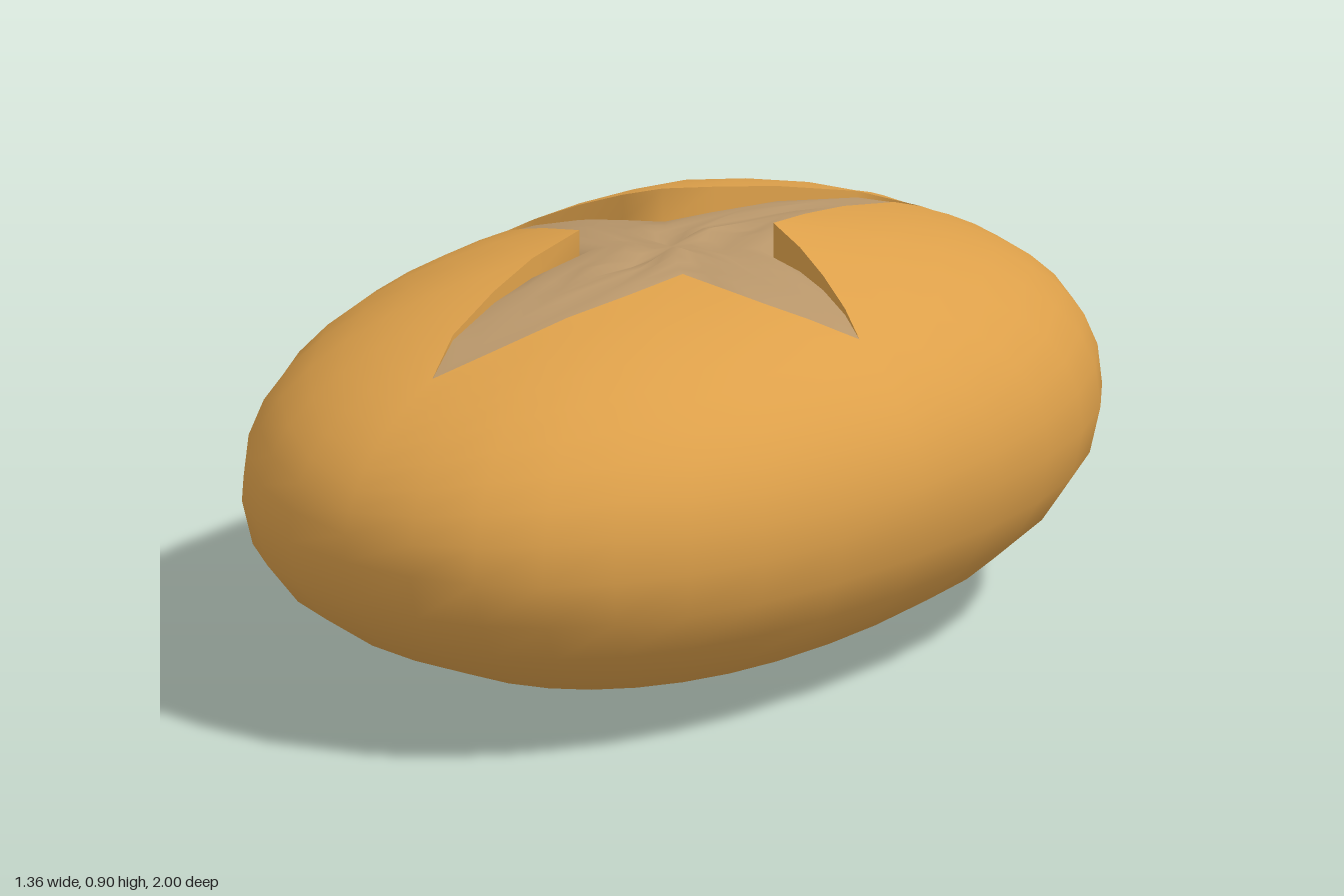
import * as THREE from 'three';
import { mergeVertices } from 'three/addons/utils/BufferGeometryUtils.js';

const HALF_X = 0.68, MID_Y = 0.43, P = 2.3;

// Right half of the cross-shaped split, [x, z], from rear tip to front tip
const half = [
  [0, -0.76], [0.05, -0.62], [0.09, -0.42], [0.12, -0.27],
  [0.15, -0.14], [0.24, -0.12], [0.33, -0.09], [0.42, -0.055],
  [0.49, -0.02], [0.41, 0.04], [0.33, 0.085], [0.25, 0.11],
  [0.14, 0.125], [0.13, 0.28], [0.10, 0.43], [0.06, 0.6], [0, 0.73],
];
const split = [...half, ...half.slice(1, -1).reverse().map(([x, z]) => [-x, z])];
const N = split.length;

// Curl of the four crust flaps: rear right, front right, front left, rear left
const flapLift = [0.045, 0.0, 0.03, 0.05];

const power = (v, e) => Math.sign(v) * Math.abs(v) ** e;

// Point on the widest outline of the loaf
function rim(i) {
  const a = -Math.PI / 2 + (i / N) * Math.PI * 2;
  return [HALF_X * power(Math.cos(a), 2 / P), power(Math.sin(a), 2 / P)];
}

// Height of the domed top
function dome(x, z) {
  const r = Math.abs(x / HALF_X) ** P + Math.abs(z) ** P;
  return MID_Y + MID_Y * Math.max(0, 1 - r) ** (1 / P);
}

// 0 at the tips of the split, 1 at the flap corners
const cornerWeight = (i) => 1 - Math.abs((i % 8) - 4) / 4;

function edgePoint(i) {
  const [x, z] = split[i];
  return [x, dome(x, z) + flapLift[Math.floor(i / 8)] * cornerWeight(i) ** 1.5, z];
}

const row = (fn) => Array.from({ length: N }, (_, i) => fn(i));

// Joins closed rows of points into one smooth surface
function skin(rows) {
  const index = [];
  for (let j = 0; j < rows.length - 1; j++) {
    for (let i = 0; i < N; i++) {
      const k = (i + 1) % N;
      const a = j * N + i, b = j * N + k, c = a + N, d = b + N;
      index.push(a, d, c, a, b, d);
    }
  }
  let geometry = new THREE.BufferGeometry();
  geometry.setAttribute('position', new THREE.Float32BufferAttribute(rows.flat(2), 3));
  geometry.setIndex(index);
  geometry = mergeVertices(geometry, 1e-5);
  geometry.computeVertexNormals();
  return geometry;
}

export function createModel() {
  const group = new THREE.Group();
  group.name = 'breadRoll';
  const crustMat = new THREE.MeshStandardMaterial({ color: 0xdda04a });
  crustMat.name = 'golden crust';
  const crumbMat = new THREE.MeshStandardMaterial({ color: 0xb8966a });
  crumbMat.name = 'pale crumb';
  crustMat.side = THREE.DoubleSide;

  const add = (name, geometry, material) => {
    const mesh = new THREE.Mesh(geometry, material);
    mesh.name = name;
    group.add(mesh);
  };

  // Crust: from the edge of the split over the rim to the underside
  const crust = [];
  const TOP = 9, BOTTOM = 7;
  for (let j = 0; j <= TOP; j++) {
    const t = Math.sin((j / TOP) * Math.PI / 2);
    crust.push(row((i) => {
      const [sx, sy, sz] = edgePoint(i), [rx, rz] = rim(i);
      const x = sx + (rx - sx) * t, z = sz + (rz - sz) * t;
      const lift = (sy - dome(sx, sz)) * (1 - t) ** 2;
      return [x, j === TOP ? MID_Y : dome(x, z) + lift, z];
    }));
  }
  for (let j = 1; j <= BOTTOM; j++) {
    const a = (j / BOTTOM) * Math.PI / 2;
    const r = j === BOTTOM ? 0 : Math.cos(a);
    crust.push(row((i) => {
      const [x, z] = rim(i);
      return [x * r, MID_Y * (1 - Math.sin(a)), z * r];
    }));
  }
  add('crust', skin(crust), crustMat);

  // Lip: thickness of the crust around the split
  const lipBottom = row((i) => {
    const [x, , z] = edgePoint(i);
    return [x, dome(x, z) - 0.03 * cornerWeight(i), z];
  });
  add('crustLip', skin([lipBottom, row(edgePoint)]), crustMat);

  // Crumb: uneven bread filling the split
  const crumb = [];
  const RINGS = 6;
  for (let j = 0; j <= RINGS; j++) {
    const t = j / RINGS;
    crumb.push(row((i) => {
      if (j === RINGS) return lipBottom[i];
      const x = split[i][0] * t, z = split[i][1] * t;
      const bump = 0.012 * Math.sin(x * 37 + z * 11) * Math.cos(z * 29 - x * 13);
      return [x, dome(x, z) - 0.012 + bump * (1 - t * t), z];
    }));
  }
  add('crumb', skin(crumb), crumbMat);

  return group;
}
